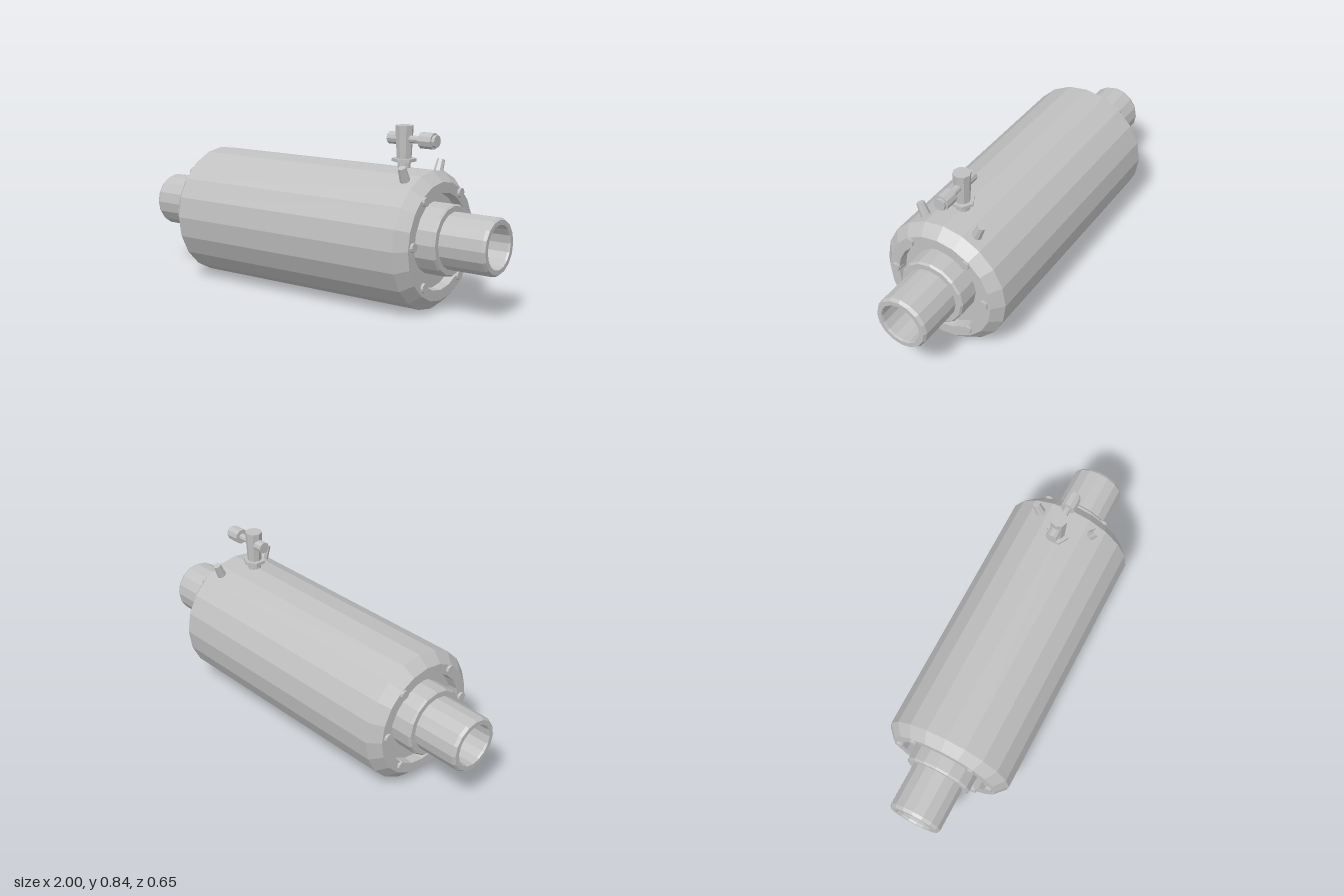
import * as THREE from 'three';

const steel = new THREE.MeshStandardMaterial({ color: 0xc0c0c0, flatShading: true });
steel.name = 'steel grey';

const BODY_Y = 0.323;
const PIPE_Y = 0.337;

// Lathe turned so that its axis runs along x; points are [radius, x]
function turned(name, points, sides, y) {
  const geo = new THREE.LatheGeometry(points.map(([r, x]) => new THREE.Vector2(r, x)), sides);
  geo.rotateZ(-Math.PI / 2);
  const mesh = new THREE.Mesh(geo, steel);
  mesh.name = name;
  mesh.position.y = y;
  return mesh;
}

// Cylinder between two points, radius r0 at the start and r1 at the end
function rod(name, from, to, r0, r1, sides) {
  const a = new THREE.Vector3(...from);
  const b = new THREE.Vector3(...to);
  const mesh = new THREE.Mesh(new THREE.CylinderGeometry(r1, r0, a.distanceTo(b), sides), steel);
  mesh.name = name;
  mesh.position.copy(a).add(b).multiplyScalar(0.5);
  mesh.quaternion.setFromUnitVectors(new THREE.Vector3(0, 1, 0), b.sub(a).normalize());
  return mesh;
}

// Mirrors a half profile (from the axis outwards at +x) into a full one
function mirrored(half) {
  return [...half.map(([r, x]) => [r, -x]), ...half.slice().reverse()];
}

export function createModel() {
  const model = new THREE.Group();
  model.name = 'pipeCoupling';

  // Drum with chamfered rims and recessed ends
  model.add(turned('drum', mirrored([
    [0, 0.655], [0.222, 0.655], [0.226, 0.702], [0.276, 0.702], [0.324, 0.65],
  ]), 20, BODY_Y));

  // Hub and hollow pipe at both ends
  for (const side of [1, -1]) {
    const end = new THREE.Group();
    end.name = side > 0 ? 'leftEnd' : 'rightEnd';
    end.add(turned('hub', [
      [0.168, 0.64], [0.168, 0.757], [0.16, 0.767], [0.12, 0.767],
    ], 16, PIPE_Y));
    end.add(turned('pipe', [
      [0.134, 0.7], [0.134, 0.985], [0.125, 1], [0.103, 1], [0.1, 0.99], [0.1, 0.7], [0, 0.7],
    ], 16, PIPE_Y));
    // Six bolts around the rim
    for (const [y, z] of [[0.53, 0.15], [0.338, 0.242], [0.137, 0.15]]) {
      for (const s of [1, -1]) {
        end.add(rod('bolt', [0.67, y, s * z], [0.715, y, s * z], 0.022, 0.022, 10));
      }
    }
    if (side < 0) end.rotation.y = Math.PI;
    model.add(end);
  }

  // Valve on top
  const valve = new THREE.Group();
  valve.name = 'valve';
  const x = 0.492;
  const y = 0.78;
  valve.add(
    rod('valveNeck', [x, 0.62, 0], [x, 0.68, 0], 0.032, 0.032, 10),
    rod('valveCollar', [x, 0.675, 0], [x, 0.69, 0], 0.057, 0.057, 6),
    rod('valveBody', [x, 0.69, 0], [x, 0.842, 0], 0.035, 0.043, 8),
    rod('valveInlet', [0.412, y, 0], [x, y, 0], 0.029, 0.029, 10),
    rod('valveSpindle', [x, y, 0], [0.6, y, 0], 0.018, 0.018, 10),
    rod('valveKnob', [0.587, y, 0], [0.655, y, 0], 0.038, 0.038, 10),
    rod('valveTip', [0.65, y, 0], [0.67, y, 0], 0.029, 0.029, 10),
  );
  model.add(valve);

  // Two slanted nipples beside the valve
  for (const s of [1, -1]) {
    model.add(rod('nipple', [0.59, 0.595, s * 0.131], [0.59, 0.673, s * 0.165], 0.026, 0.019, 8));
  }

  return model;
}
